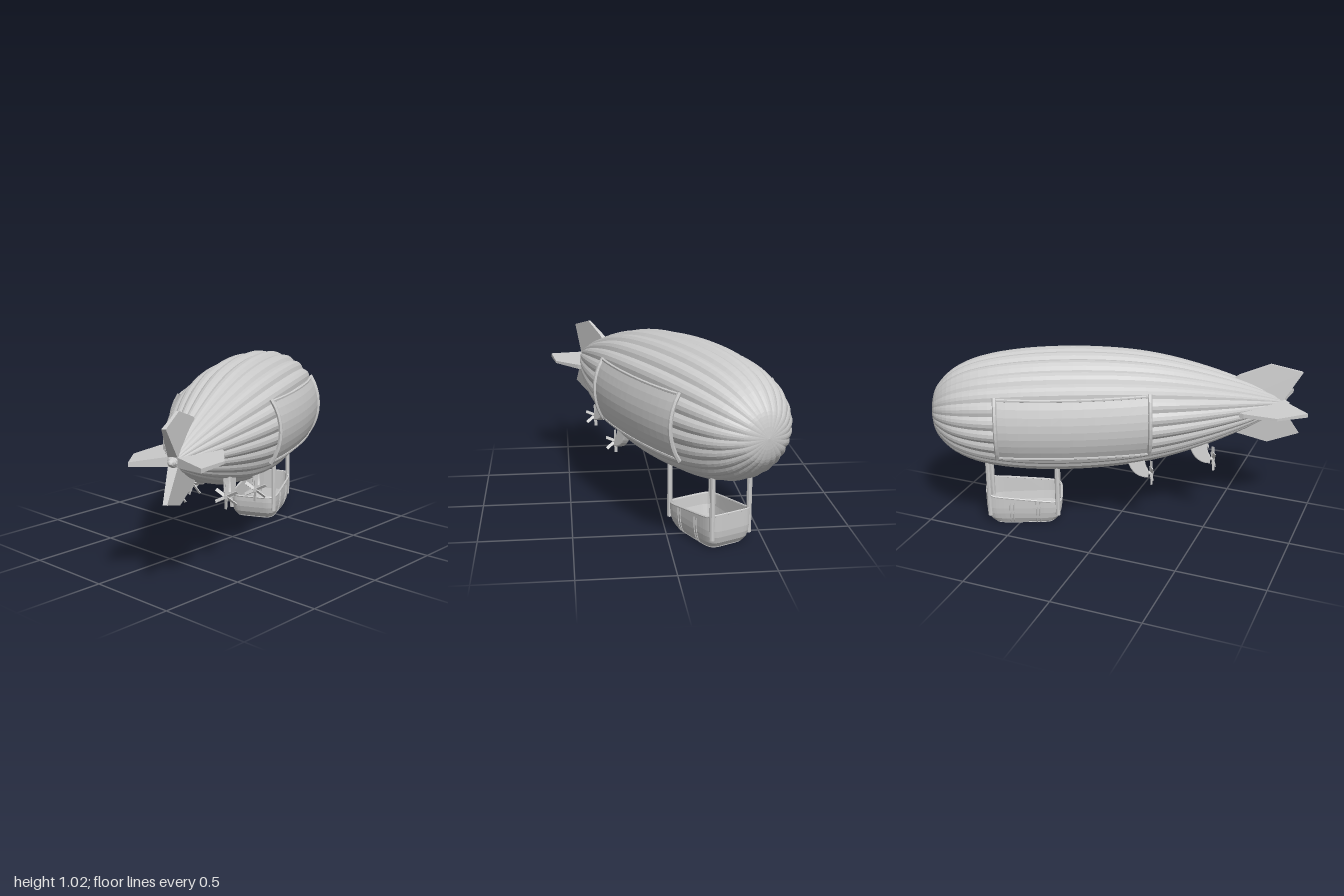
import * as THREE from 'three';

const MAT = new THREE.MeshStandardMaterial({ color: 0xcccccc, flatShading: true });
const THIN = new THREE.MeshStandardMaterial({ color: 0xcccccc, flatShading: true, side: THREE.DoubleSide });
const HEADING = THREE.MathUtils.degToRad(24.5);
const AXIS_Y = 0.675;

// hull profile: distance along the axis, radius
const PROFILE = new THREE.SplineCurve([
  [-0.95, 0.004], [-0.82, 0.08], [-0.66, 0.155], [-0.44, 0.235], [-0.22, 0.295], [0, 0.33], [0.27, 0.346],
  [0.55, 0.337], [0.78, 0.3], [0.93, 0.237], [1.02, 0.15], [1.05, 0.08], [1.06, 0.002],
].map(([x, r]) => new THREE.Vector2(x, r))).getPoints(48);

function hullRadius(x) {
  let i = 1;
  while (i < PROFILE.length - 1 && PROFILE[i].x < x) i++;
  const a = PROFILE[i - 1], b = PROFILE[i];
  return THREE.MathUtils.lerp(a.y, b.y, (x - a.x) / (b.x - a.x));
}

function mesh(name, geometry, parent, material = MAT) {
  const m = new THREE.Mesh(geometry, material);
  m.name = name;
  parent.add(m);
  return m;
}

// skin a grid of points given as rows of equal length
function loft(rows) {
  const n = rows[0].length, index = [];
  for (let i = 0; i < rows.length - 1; i++) {
    for (let j = 0; j < n - 1; j++) {
      const a = i * n + j, b = a + n;
      index.push(a, b, b + 1, a, b + 1, a + 1);
    }
  }
  const g = new THREE.BufferGeometry().setFromPoints(rows.flat());
  g.setIndex(index);
  g.computeVertexNormals();
  return g;
}

function bar(name, points, radius, parent, closed = false) {
  const path = new THREE.CurvePath();
  const pts = closed ? [...points, points[0]] : points;
  for (let i = 1; i < pts.length; i++) path.add(new THREE.LineCurve3(pts[i - 1], pts[i]));
  return mesh(name, new THREE.TubeGeometry(path, (pts.length - 1) * 2, radius, 6, closed), parent);
}

// envelope made of puffed gores
function addHull(parent) {
  const gores = 24, steps = 4;
  const rows = PROFILE.map(({ x, y: r }) => {
    const row = [];
    for (let j = 0; j <= gores * steps; j++) {
      const a = (j / (gores * steps)) * Math.PI * 2;
      const rr = r * (0.955 + 0.045 * Math.sin(Math.PI * (j % steps) / steps));
      row.push(new THREE.Vector3(x, Math.cos(a) * rr, -Math.sin(a) * rr));
    }
    return row;
  });
  mesh('envelope', loft(rows), parent).position.y = AXIS_Y;
}

// four tail fins, thinner towards the tip
function addFins(parent) {
  const shape = new THREE.Shape([
    [-0.58, 0], [-0.58, 0.12], [-0.66, 0.175], [-0.835, 0.237], [-1.016, 0.185], [-0.91, 0.025], [-0.91, 0],
  ].map(([x, y]) => new THREE.Vector2(x, y)));
  const g = new THREE.ExtrudeGeometry(shape, { depth: 1, bevelEnabled: false });
  const p = g.attributes.position;
  for (let i = 0; i < p.count; i++) {
    const thick = THREE.MathUtils.lerp(0.055, 0.014, p.getY(i) / 0.237);
    p.setZ(i, (p.getZ(i) - 0.5) * thick);
  }
  g.computeVertexNormals();
  for (let k = 0; k < 4; k++) {
    const fin = mesh('tailFin', g, parent);
    fin.position.y = AXIS_Y;
    fin.rotation.x = k * Math.PI / 2;
  }
}

// curved side banner with its frame
function addBanner(side, parent) {
  const x0 = -0.135, x1 = 0.69, h = 0.168;
  const at = (x, y, lift) => new THREE.Vector3(x, AXIS_Y + y, side * (Math.sqrt(hullRadius(x) ** 2 - y * y) + lift));
  const rows = [];
  for (let i = 0; i <= 14; i++) {
    const x = THREE.MathUtils.lerp(x0, x1, i / 14);
    rows.push(Array.from({ length: 9 }, (_, j) => at(x, h * (1 - j / 4), 0.008)));
  }
  mesh('sideBanner', loft(rows), parent, THIN);
  for (const s of [-1, 1]) {
    bar('bannerRail', rows.map((r) => at(r[0].x, s * h, 0.006)), 0.009, parent);
  }
  for (const x of [x0, x1]) {
    bar('bannerPost', Array.from({ length: 9 }, (_, j) => at(x, h * 1.06 * (1 - j / 4), 0.01)), 0.012, parent);
  }
}

// engine fairing with a six-bladed propeller behind it
function addEngine(x, y, z, parent) {
  const engine = new THREE.Group();
  engine.name = 'engine';
  engine.position.set(x, y, z);
  engine.rotation.x = Math.sign(z) * -0.15;
  parent.add(engine);
  const s = new THREE.Shape();
  s.moveTo(0.012, -0.018);
  s.quadraticCurveTo(0.11, -0.01, 0.125, 0.12);
  s.lineTo(0.03, 0.12);
  s.quadraticCurveTo(0.035, 0.05, 0.012, 0.018);
  const fairing = new THREE.ExtrudeGeometry(s, {
    depth: 0.026, bevelThickness: 0.008, bevelSize: 0.006, bevelSegments: 2, curveSegments: 8,
  });
  fairing.translate(0, 0, -0.013);
  mesh('engineFairing', fairing, engine);
  const hub = mesh('propellerHub', new THREE.CylinderGeometry(0.011, 0.009, 0.045, 8), engine);
  hub.rotation.z = Math.PI / 2;
  for (let k = 0; k < 6; k++) {
    const pivot = new THREE.Group();
    pivot.name = 'propellerBlade';
    pivot.position.x = -0.012;
    pivot.rotation.x = k * Math.PI / 3 + 0.2;
    engine.add(pivot);
    const blade = mesh('blade', new THREE.BoxGeometry(0.005, 0.06, 0.018), pivot);
    blade.position.y = 0.037;
    blade.rotation.y = 0.6;
  }
}

// open basket hung below the nose on four struts
function addGondola(parent) {
  const gondola = new THREE.Group();
  gondola.name = 'gondola';
  gondola.position.set(0.567, 0, 0.005);
  parent.add(gondola);
  const L = 0.218, W = 0.14, N = 48;
  const power = (v) => Math.sign(v) * Math.abs(v) ** 0.32;
  const rim = (c) => 0.14 + 0.024 * (c + 1) + 0.012 * Math.max(0, c - 0.8) / 0.2;
  const point = (scale, y, a) => {
    const c = power(Math.cos(a));
    return new THREE.Vector3(c * L * scale, y ?? rim(c), power(Math.sin(a)) * W * scale * (1 - 0.05 * c));
  };
  const ring = (scale, y) => Array.from({ length: N + 1 }, (_, j) => point(scale, y, j / N * Math.PI * 2));
  const side = [[0.76, 0.002], [0.85, 0.016], [0.93, 0.04], [0.98, 0.075], [1, 0.11]];
  const rows = [ring(0.001, 0.002), ...side.map(([s, y]) => ring(s, y)), ring(1, null), ring(0.95, null),
    ring(0.93, 0.08), ring(0.87, 0.03), ring(0.001, 0.028)];
  mesh('basket', loft(rows), gondola);
  bar('basketRim', ring(0.985, null).slice(0, N), 0.006, gondola, true);
  bar('bottomRail', ring(0.77, 0.006).slice(0, N), 0.006, gondola, true);
  // upright bands on both long sides
  for (const s of [-1, 1]) {
    for (const x of [-0.09, -0.07, 0.06, 0.08]) {
      const pts = [...side, [1, 0.15]].map(([k, y]) => new THREE.Vector3(x, y, s * W * (k - 0.05 * x / L)));
      bar('basketBand', pts, 0.004, gondola);
    }
    for (const [x, z] of [[-0.192, 0.133], [0.195, 0.114]]) {
      const strut = mesh('strut', new THREE.CylinderGeometry(0.014, 0.014, 0.39, 8), gondola);
      strut.position.set(x, 0.255, s * z);
    }
  }
}

export function createModel() {
  const model = new THREE.Group();
  model.name = 'airship';
  const ship = new THREE.Group();
  ship.name = 'ship';
  ship.rotation.y = HEADING;
  model.add(ship);
  addHull(ship);
  addFins(ship);
  for (const side of [-1, 1]) {
    addBanner(side, ship);
    addEngine(-0.143, 0.345, side * 0.185, ship);
    addEngine(-0.496, 0.4, side * 0.135, ship);
  }
  addGondola(ship);
  return model;
}
